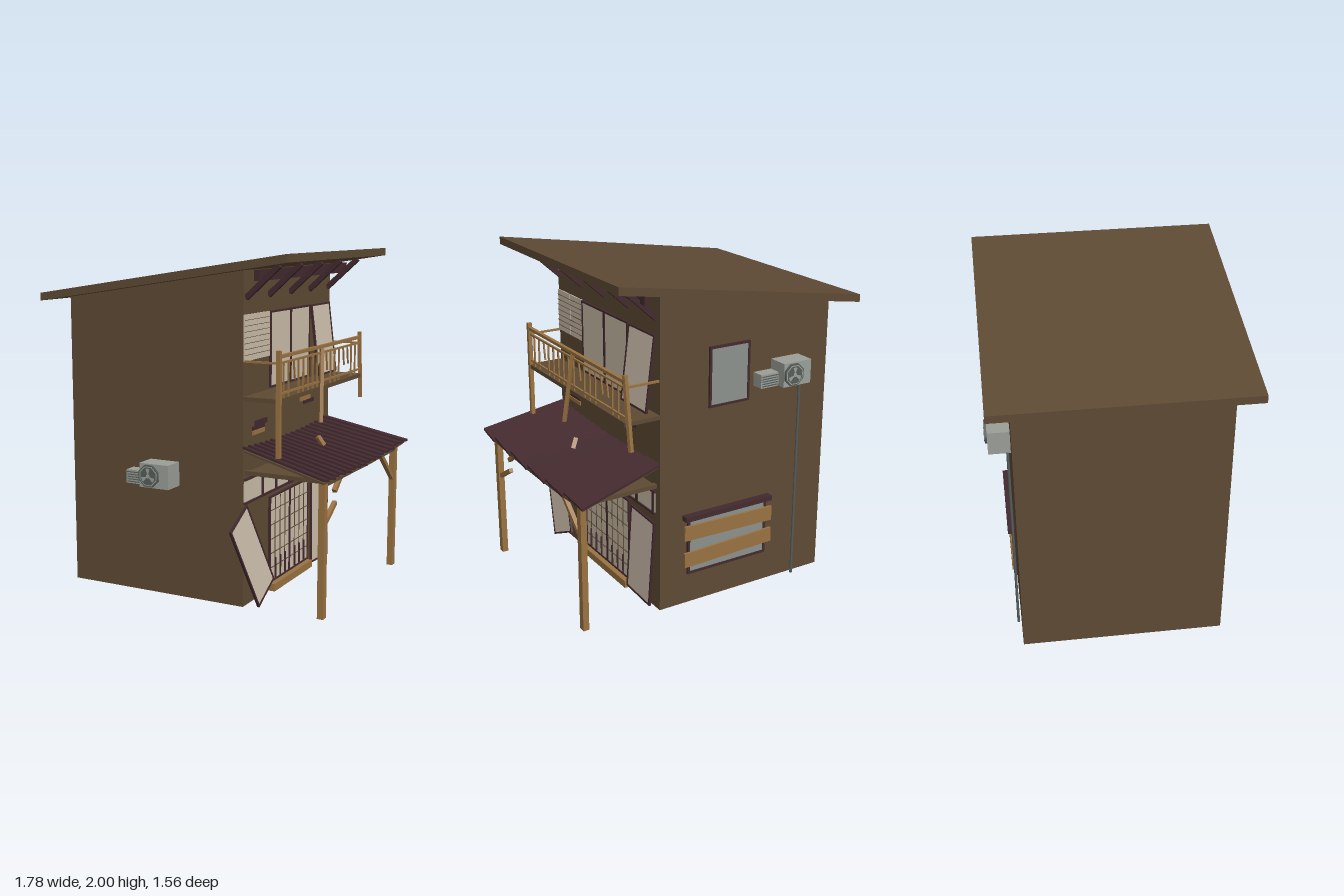
import * as THREE from 'three';

const mat = (name, color) => {
  const m = new THREE.MeshStandardMaterial({ color });
  m.name = name;
  return m;
};
const wall = mat('brown wall', 0x5e4a34);
const wood = mat('light wood', 0x9a7342);
const dark = mat('dark maroon wood', 0x432a2f);
const paper = mat('paper', 0xcdbeab);
const glass = mat('window glass', 0x8c918d);
const metal = mat('grey metal', 0x9b9f98);
const steel = mat('dark steel', 0x565d5a);

function add(parent, name, geometry, material) {
  const m = new THREE.Mesh(geometry, material);
  m.name = name;
  parent.add(m);
  return m;
}

// Box from its limits on each axis
function box(parent, name, material, x0, x1, y0, y1, z0, z1) {
  const m = add(parent, name, new THREE.BoxGeometry(x1 - x0, y1 - y0, z1 - z0), material);
  m.position.set((x0 + x1) / 2, (y0 + y1) / 2, (z0 + z1) / 2);
  return m;
}

// Square timber between two points
function beam(parent, name, material, a, b, w, d = w) {
  const p = new THREE.Vector3(...a), q = new THREE.Vector3(...b);
  const m = add(parent, name, new THREE.BoxGeometry(w, p.distanceTo(q), d), material);
  m.position.copy(p).add(q).multiplyScalar(0.5);
  m.quaternion.setFromUnitVectors(new THREE.Vector3(0, 1, 0), q.sub(p).normalize());
  return m;
}

// Framed sheet, centred on its group, facing +z
function panel(parent, name, w, h, x, y, z, tilt = 0, roll = 0, fill = paper, f = 0.011) {
  const g = new THREE.Group();
  g.name = name;
  box(g, name + 'Sheet', fill, -w / 2 + f, w / 2 - f, -h / 2 + f, h / 2 - f, -0.003, 0.003);
  for (const s of [-1, 1]) {
    box(g, name + 'Stile', dark, s * (w / 2 - f / 2) - f / 2, s * (w / 2 - f / 2) + f / 2, -h / 2, h / 2, -0.007, 0.007);
    box(g, name + 'Rail', dark, -w / 2 + f, w / 2 - f, s * (h / 2 - f / 2) - f / 2, s * (h / 2 - f / 2) + f / 2, -0.007, 0.007);
  }
  g.position.set(x, y, z);
  g.rotation.set(tilt, 0, roll);
  parent.add(g);
  return g;
}

// Outdoor fan unit with louvred side box, its back on z = 0
function fanUnit(name) {
  const g = new THREE.Group();
  g.name = name;
  box(g, 'unitCase', metal, 0, 0.19, 0, 0.14, 0, 0.125);
  const disc = (n, r, z0, z1, m) => {
    const c = add(g, n, new THREE.CylinderGeometry(r, r, z1 - z0, 8).rotateY(Math.PI / 8).rotateX(Math.PI / 2), m);
    c.position.set(0.066, 0.07, (z0 + z1) / 2);
  };
  disc('fanGuard', 0.068, 0.125, 0.138, steel);
  disc('fanFace', 0.06, 0.138, 0.14, metal);
  disc('fanWell', 0.054, 0.14, 0.141, steel);
  disc('fanHub', 0.012, 0.141, 0.144, metal);
  for (let i = 0; i < 3; i++) {
    const a = Math.PI / 2 + i * Math.PI * 2 / 3;
    const b = add(g, 'fanBlade', new THREE.CircleGeometry(0.045, 5, a - 0.32, 0.64), metal);
    b.position.set(0.066, 0.07, 0.143);
  }
  box(g, 'sideBox', metal, -0.12, 0, 0, 0.08, 0, 0.075);
  for (let i = 0; i < 5; i++)
    box(g, 'louvre', steel, -0.112, -0.006, 0.009 + i * 0.014, 0.014 + i * 0.014, 0.075, 0.08);
  return g;
}

function buildShell(g) {
  // Walls with a sloping top
  const s = new THREE.Shape([[-0.77, 0.01], [0.37, 0.01], [0.37, 1.915], [-0.77, 1.738]].map(p => new THREE.Vector2(...p)));
  add(g, 'walls', new THREE.ExtrudeGeometry(s, { depth: 1.2, bevelEnabled: false }), wall).position.z = -0.64;
  // Mono-pitch roof
  const r = new THREE.Shape([[-0.89, 1.71], [0.69, 1.955], [0.69, 2], [-0.89, 1.755]].map(p => new THREE.Vector2(...p)));
  add(g, 'roof', new THREE.ExtrudeGeometry(r, { depth: 1.46, bevelEnabled: false }), wall).position.z = -0.77;
  // Eaves beam and struts
  box(g, 'eavesBeam', dark, 0.445, 0.475, 1.85, 1.91, -0.66, 0.58);
  for (let i = 0; i < 5; i++) {
    const z = 0.525 - i * 0.281;
    beam(g, 'eavesStrut', dark, [0.37, 1.755, z], [0.57, 1.935, z], 0.03, 0.025);
  }
}

// Facade items: local x runs along the wall, z points out of it
function buildFacade(f) {
  // Upper storey sliding screens, one leaning out
  panel(f, 'upperScreen', 0.275, 0.44, -0.1, 1.445, 0.006);
  panel(f, 'upperScreen', 0.275, 0.44, 0.173, 1.445, 0.006);
  panel(f, 'leaningUpperScreen', 0.28, 0.44, 0.467, 1.445, 0.036, -0.125);
  for (const x of [-0.558, -0.397]) {
    box(f, 'shutter', paper, x, x + 0.157, 1.41, 1.665, 0, 0.007);
    for (let i = 1; i < 8; i++)
      box(f, 'shutterSlat', wall, x, x + 0.157, 1.41 + i * 0.032, 1.412 + i * 0.032, 0.007, 0.012);
  }
  // Transom lights
  box(f, 'transomPaper', paper, -0.55, 0.595, 0.615, 0.745, 0, 0.005);
  for (const y of [0.605, 0.74]) box(f, 'transomRail', dark, -0.555, 0.6, y, y + 0.012, 0, 0.014);
  for (let i = 0; i < 6; i++) {
    const x = -0.33 + i * 0.1815;
    box(f, 'transomMullion', dark, x - 0.009, x + 0.009, 0.615, 0.742, 0, 0.013);
  }
  // Sliding doors with fine lattice and low balusters
  for (const x of [-0.1, 0.173]) {
    panel(f, 'door', 0.275, 0.525, x, 0.32, 0.008);
    for (let i = 1; i < 6; i++)
      box(f, 'doorLattice', wall, x - 0.126, x + 0.126, 0.06 + i * 0.087, 0.062 + i * 0.087, 0.01, 0.018);
    for (let i = -1; i < 2; i++) {
      box(f, 'doorLattice', wall, x - 0.001 + i * 0.068, x + 0.001 + i * 0.068, 0.07, 0.57, 0.01, 0.016);
      box(f, 'doorBaluster', dark, x - 0.003 + i * 0.068, x + 0.003 + i * 0.068, 0.075, 0.2, 0.012, 0.022);
    }
  }
  box(f, 'doorSill', wood, -0.235, 0.31, 0.01, 0.055, 0, 0.045);
  panel(f, 'leaningDoor', 0.265, 0.54, 0.462, 0.295, 0.022, -0.035, -0.05);
  panel(f, 'fallenDoor', 0.246, 0.54, -0.545, 0.312, 0.053, -0.125, 0.44);
  // Loose boards on the wall
  const boards = [[dark, -0.42, 1.03, 1.06], [dark, -0.45, 1.01, 1.03], [wood, -0.45, 0.982, 1.005],
    [wood, 0.19, 1.083, 1.11], [dark, 0.245, 1.06, 1.083]];
  for (const [m, x, y0, y1] of boards) box(f, 'wallBoard', m, x, x + 0.15, y0, y1, 0, 0.008);
}

function buildBalcony(f) {
  box(f, 'balconyFloor', wall, -0.56, 0.64, 1.192, 1.216, 0, 0.22);
  box(f, 'handrail', wood, -0.56, 0.64, 1.438, 1.456, 0.2, 0.222);
  box(f, 'upperRail', wood, -0.56, 0.64, 1.406, 1.417, 0.205, 0.217);
  box(f, 'lowerRail', wood, -0.56, 0.64, 1.238, 1.249, 0.205, 0.217);
  for (const x of [-0.55, 0.63]) box(f, 'sideRail', wood, x - 0.006, x + 0.006, 1.405, 1.417, 0, 0.21);
  box(f, 'balconyPost', wood, -0.564, -0.54, 0.89, 1.48, 0.2, 0.225);
  beam(f, 'loosePost', wood, [0.63, 1.48, 0.21], [0.68, 1.06, 0.205], 0.022);
  beam(f, 'loosePost', wood, [0.032, 1.44, 0.212], [-0.042, 1.01, 0.242], 0.022);
  // Balusters, some snapped short
  const snapped = [2, 9, 13, 14];
  for (let i = 0; i < 17; i++) {
    const x = -0.49 + i * 0.0655;
    const cut = snapped.includes(i);
    beam(f, 'baluster', wood, [x, 1.41, 0.211], [x + (cut ? 0.018 : 0), cut ? 1.3 : 1.216, 0.211], 0.009);
  }
  beam(f, 'fallenStub', wood, [0.015, 0.915, 0.2], [0.035, 0.86, 0.23], 0.025);
}

function buildPorch(g) {
  // Sagging roof strip; each corner is placed by the slope and sag rule
  const strip = (name, m, u0, u1, top, thick, lift, len) => {
    const geo = new THREE.BoxGeometry(1, 1, 1, 6, 1, m === wall ? 16 : 1);
    const p = geo.attributes.position;
    for (let i = 0; i < p.count; i++) {
      const t = p.getX(i) + 0.5, v = p.getZ(i) + 0.5;
      const u = u0 + (u1 - u0) * v;
      const sag = 0.022 * Math.sin(Math.PI * THREE.MathUtils.clamp(u, 0, 1));
      const z = THREE.MathUtils.lerp(-0.64 + 1.2 * u, -0.705 + 1.33 * u, t);
      p.setXYZ(i, 0.37 + len * t, top - 0.118 * t * len / 0.52 - sag + (p.getY(i) - 0.5) * thick + lift * v, z);
    }
    geo.computeVertexNormals();
    add(g, name, geo, m);
  };
  const n = 17;
  for (let i = 0; i < n; i++)
    strip('roofStrip', dark, i / n, (i + 1.1) / n, 0.927, 0.014, 0.013, 0.52 - 0.006 * (i % 3));
  strip('roofDeck', wall, 0.01, 0.99, 0.914, 0.012, 0, 0.505);
  // Frame
  box(g, 'frontBeam', wall, 0.82, 0.85, 0.752, 0.79, -0.61, 0.535);
  for (const z of [0.52, -0.595]) {
    box(g, 'sideBeam', wall, 0.37, 0.85, 0.772, 0.796, z - 0.015, z + 0.015);
    box(g, 'porchPost', wood, 0.818, 0.855, 0.01, 0.775, z - 0.021, z + 0.021);
  }
  box(g, 'porchCeiling', wall, 0.37, 0.84, 0.776, 0.784, -0.595, 0.52);
  // Braces, one of them broken in two
  beam(g, 'brace', wood, [0.835, 0.57, -0.59], [0.835, 0.76, -0.37], 0.025);
  beam(g, 'brokenBrace', wood, [0.835, 0.54, 0.5], [0.835, 0.63, 0.35], 0.025);
  beam(g, 'brokenBrace', wood, [0.835, 0.695, 0.36], [0.835, 0.76, 0.28], 0.025);
}

// Back wall items: local x runs toward -x, z points out of the wall
function buildBack(b) {
  panel(b, 'upperWindow', 0.27, 0.355, 0.08, 1.38, 0.006, 0, 0, glass, 0.014);
  panel(b, 'lowerWindow', 0.55, 0.36, 0.085, 0.38, 0.008, 0, 0, glass, 0.016);
  box(b, 'windowHood', dark, -0.22, 0.38, 0.55, 0.58, 0, 0.045);
  for (const [y, r] of [[0.465, -0.02], [0.31, 0.03]]) {
    const m = box(b, 'nailedBoard', wood, -0.22, 0.39, y - 0.045, y + 0.045, 0.018, 0.032);
    m.rotation.z = r;
  }
  const unit = fanUnit('backFanUnit');
  unit.position.set(0.37, 1.28, 0);
  b.add(unit);
  const pipe = add(b, 'drainPipe', new THREE.CylinderGeometry(0.008, 0.008, 1.28, 8), steel);
  pipe.position.set(0.567, 0.645, 0.018);
}

export function createModel() {
  const g = new THREE.Group();
  g.name = 'oldHouse';
  const group = (name, x, z, ry) => {
    const s = new THREE.Group();
    s.name = name;
    s.position.set(x, 0, z);
    s.rotation.y = ry;
    g.add(s);
    return s;
  };
  buildShell(g);
  buildFacade(group('facade', 0.37, 0, Math.PI / 2));
  buildBalcony(group('balcony', 0.37, 0, Math.PI / 2));
  buildPorch(group('porch', 0, 0, 0));
  buildBack(group('backWall', 0, -0.64, Math.PI));
  const unit = fanUnit('frontFanUnit');
  unit.position.set(-0.23, 0.67, 0.56);
  g.add(unit);
  return g;
}
